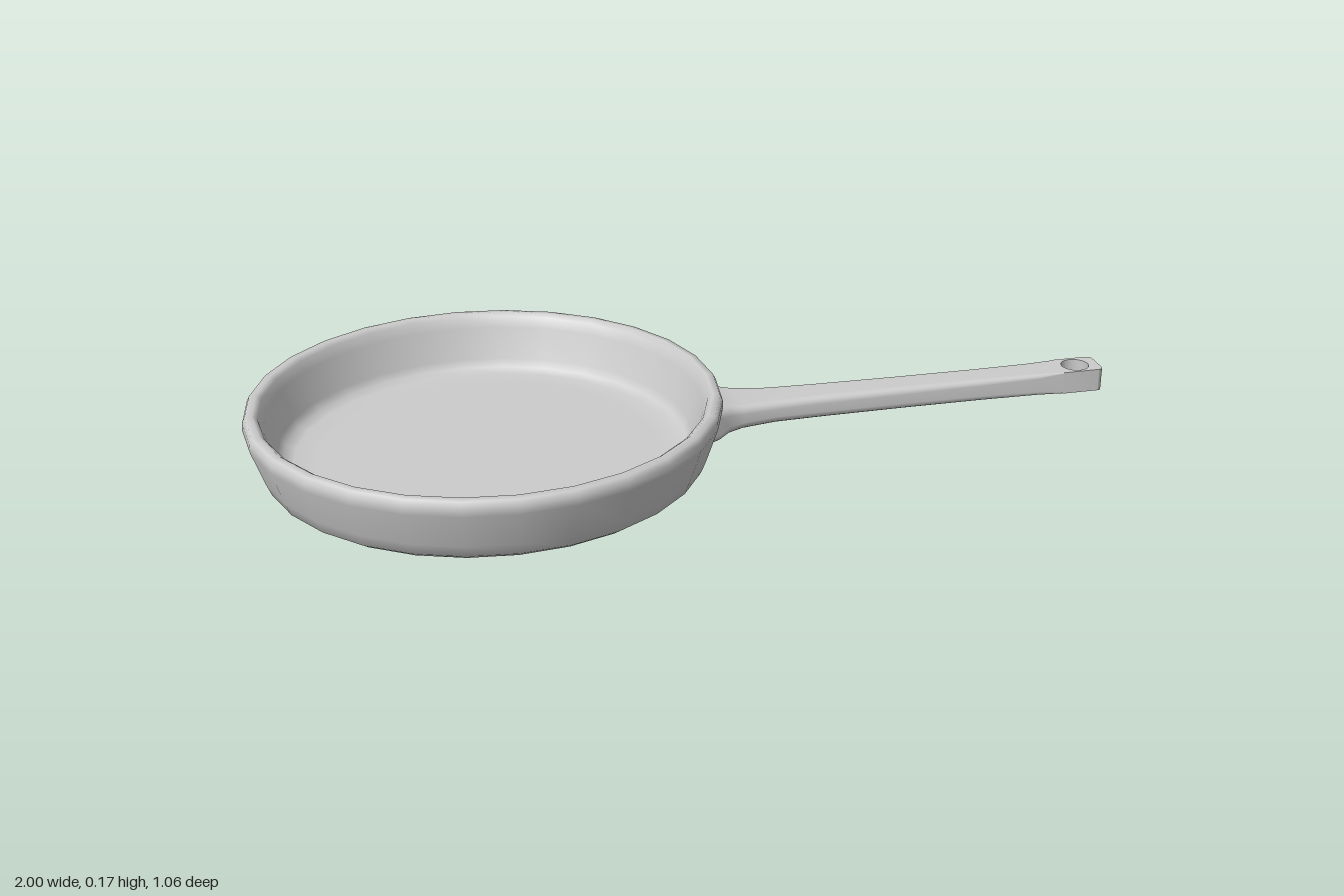
import * as THREE from 'three';
import { mergeVertices, toCreasedNormals } from 'three/addons/utils/BufferGeometryUtils.js';

const material = new THREE.MeshStandardMaterial({ color: 0xcccccc });
const HANDLE_Y = 0.081;

// Rounded rectangle outline, counter-clockwise, centred on the origin
function roundedRect(hw, hh, r, steps = 4) {
  const pts = [];
  const corners = [[1, 1], [-1, 1], [-1, -1], [1, -1]];
  corners.forEach(([sx, sy], c) => {
    for (let i = 0; i <= steps; i++) {
      const a = (c + i / steps) * Math.PI / 2;
      pts.push(new THREE.Vector2(sx * (hw - r) + r * Math.cos(a), sy * (hh - r) + r * Math.sin(a)));
    }
  });
  return pts;
}

// Skin a row of rounded sections [x, half width, half height, corner radius]
function loftHandle(sections) {
  const pos = [], index = [];
  let n = 0;
  for (const [x, hw, hh, r] of sections) {
    const ring = roundedRect(hw, hh, r);
    n = ring.length;
    ring.forEach(p => pos.push(x, p.y, p.x));
  }
  for (let s = 0; s < sections.length - 1; s++) {
    for (let i = 0; i < n; i++) {
      const a = s * n + i, b = s * n + (i + 1) % n;
      index.push(a, b, a + n, b, b + n, a + n);
    }
  }
  const g = new THREE.BufferGeometry();
  g.setAttribute('position', new THREE.Float32BufferAttribute(pos, 3));
  g.setIndex(index);
  // Winding check: the first side must face away from the handle axis
  const v = i => new THREE.Vector3().fromBufferAttribute(g.attributes.position, i);
  const normal = new THREE.Triangle(v(index[0]), v(index[1]), v(index[2])).getNormal(new THREE.Vector3());
  const out = v(index[0]).setX(0);
  if (normal.dot(out) < 0) {
    for (let i = 0; i < index.length; i += 3) [index[i + 1], index[i + 2]] = [index[i + 2], index[i + 1]];
    g.setIndex(index);
  }
  const merged = mergeVertices(g);
  merged.computeVertexNormals();
  return merged;
}

function addMesh(group, name, geometry, x, y) {
  const mesh = new THREE.Mesh(geometry, material);
  mesh.name = name;
  mesh.position.set(x, y, 0);
  group.add(mesh);
  return mesh;
}

export function createModel() {
  const group = new THREE.Group();
  group.name = 'fryingPan';

  // Pan: outer wall up, over the rim, down the inside to the floor
  const profile = [
    [0, 0], [0.32, 0.002], [0.42, 0.008], [0.475, 0.02], [0.492, 0.032], [0.503, 0.06],
    [0.53, 0.14], [0.529, 0.158], [0.523, 0.171], [0.507, 0.173], [0.496, 0.165],
    [0.487, 0.14], [0.463, 0.068], [0.452, 0.049], [0.43, 0.041], [0.38, 0.039], [0, 0.039],
  ].map(([x, y]) => new THREE.Vector2(x, y));
  addMesh(group, 'pan', new THREE.LatheGeometry(profile, 28), -0.47, 0);

  // Handle: flares where it meets the wall, squares off towards the tip
  addMesh(group, 'handle', loftHandle([
    [0.015, 0.105, 0.044, 0.02],
    [0.05, 0.09, 0.04, 0.02],
    [0.075, 0.072, 0.034, 0.02],
    [0.11, 0.063, 0.029, 0.019],
    [0.19, 0.051, 0.027, 0.018],
    [0.3, 0.046, 0.027, 0.017],
    [0.5, 0.042, 0.027, 0.016],
    [0.7, 0.04, 0.027, 0.014],
    [0.84, 0.04, 0.027, 0.01],
    [0.9, 0.04, 0.027, 0.003],
  ]), 0, HANDLE_Y);

  // Handle tip with the hanging hole
  const r = 0.015, tip = new THREE.Shape();
  tip.moveTo(0.9, -0.04);
  tip.lineTo(1 - r, -0.04);
  tip.quadraticCurveTo(1, -0.04, 1, -0.04 + r);
  tip.lineTo(1, 0.04 - r);
  tip.quadraticCurveTo(1, 0.04, 1 - r, 0.04);
  tip.lineTo(0.9, 0.04);
  tip.closePath();
  const hole = new THREE.Path();
  hole.absarc(0.943, 0, 0.033, 0, Math.PI * 2, true);
  tip.holes.push(hole);
  const tipGeometry = new THREE.ExtrudeGeometry(tip, { depth: 0.054, bevelEnabled: false, curveSegments: 10 });
  tipGeometry.rotateX(-Math.PI / 2).translate(0, -0.027, 0);
  addMesh(group, 'handleTip', toCreasedNormals(tipGeometry, 0.8), 0, HANDLE_Y);

  return group;
}
